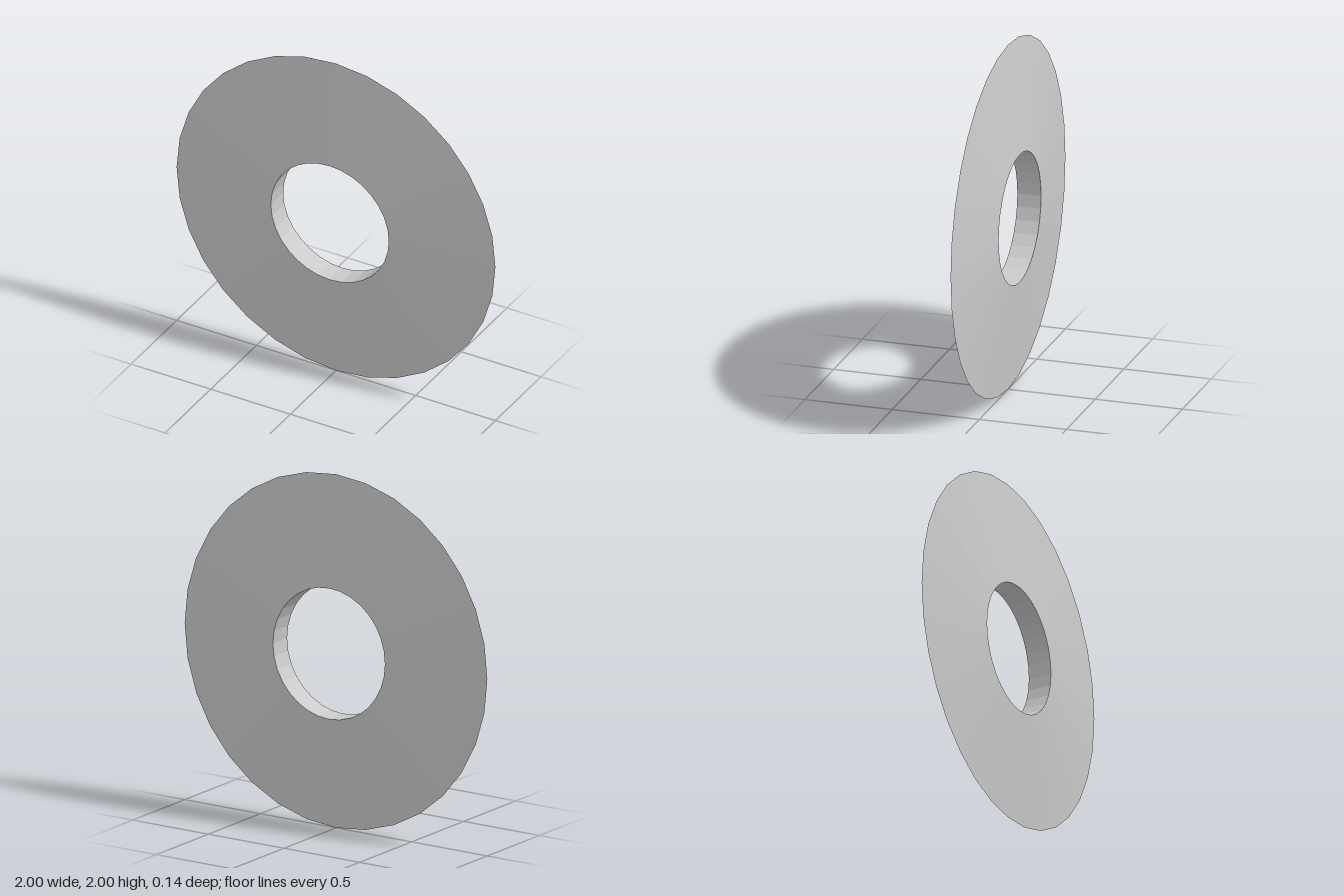
import * as THREE from 'three';

const SIDES = 32;
const OUTER = 1;      // radius of the sharp rim
const INNER = 0.37;   // radius of the central hole
const HALF = 0.068;   // half thickness at the hole

export function createModel() {
  const group = new THREE.Group();
  group.name = 'ringDisc';

  // Triangular section: hole edge, sharp rim, hole edge, then back along the bore
  const profile = [
    [INNER, -HALF],
    [OUTER, 0],
    [INNER, HALF],
    [INNER, -HALF],
  ].map(([r, h]) => new THREE.Vector2(r, h));

  // Faceted disc, turned so its axis runs front to back
  const geometry = new THREE.LatheGeometry(profile, SIDES);
  geometry.rotateX(Math.PI / 2);
  const material = new THREE.MeshStandardMaterial({ color: 0xcccccc, flatShading: true });
  const disc = new THREE.Mesh(geometry, material);
  disc.name = 'bevelledDisc';
  disc.position.y = OUTER;
  group.add(disc);

  return group;
}
